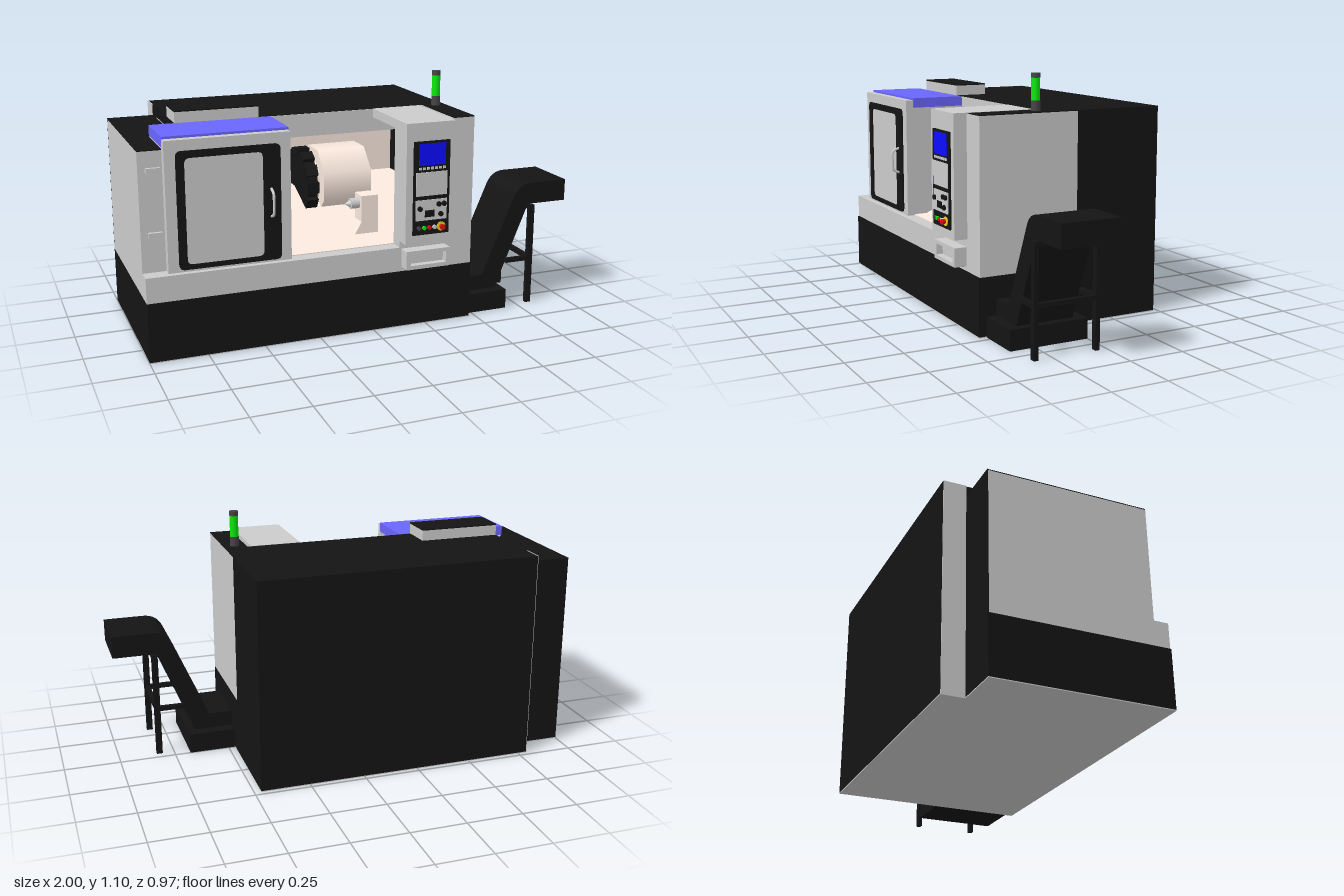
import * as THREE from 'three';

const mats = {};
const mat = (c) => (mats[c] ??= new THREE.MeshStandardMaterial({ color: c }));
const GREY = 0xcccccc, BLACK = 0x141414, PINK = 0xfbeadf, BLUE = 0x0c0cff, LILAC = 0x6a66ff;
const GREEN = 0x08e808, STEEL = 0xb4bce0, RED = 0xe01010, DARK = 0x444444;

export function createModel() {
  const model = new THREE.Group();

  const add = (name, color, geo, x = 0, y = 0, z = 0) => {
    const m = new THREE.Mesh(geo, mat(color));
    m.name = name;
    m.position.set(x, y, z);
    model.add(m);
    return m;
  };
  const box = (name, color, x0, x1, y0, y1, z0, z1) =>
    add(name, color, new THREE.BoxGeometry(x1 - x0, y1 - y0, z1 - z0), (x0 + x1) / 2, (y0 + y1) / 2, (z0 + z1) / 2);
  // Cylinder along the x, y or z axis, r1 at the positive end
  const cyl = (name, color, axis, r1, r0, len, x, y, z, seg = 32) => {
    const g = new THREE.CylinderGeometry(r1, r0, len, seg);
    if (axis === 'x') g.rotateZ(-Math.PI / 2);
    if (axis === 'z') g.rotateX(Math.PI / 2);
    return add(name, color, g, x, y, z);
  };
  const roundRect = (Path, x0, x1, y0, y1, r) => {
    const p = new Path();
    p.moveTo(x0 + r, y0);
    p.lineTo(x1 - r, y0).quadraticCurveTo(x1, y0, x1, y0 + r);
    p.lineTo(x1, y1 - r).quadraticCurveTo(x1, y1, x1 - r, y1);
    p.lineTo(x0 + r, y1).quadraticCurveTo(x0, y1, x0, y1 - r);
    p.lineTo(x0, y0 + r).quadraticCurveTo(x0, y0, x0 + r, y0);
    return p;
  };
  const extrude = (shape, depth) => new THREE.ExtrudeGeometry(shape, { depth, bevelEnabled: false, curveSegments: 8 });

  // Base
  box('base', BLACK, -0.79, 0.47, 0.004, 0.26, -0.48, 0.40);
  box('baseLeftEnd', BLACK, -1, -0.79, 0.004, 0.26, -0.38, 0.40);
  box('baseUnderside', GREY, -0.79, 0.47, 0, 0.004, -0.48, 0.40);
  box('baseUndersideLeft', GREY, -1, -0.79, 0, 0.004, -0.38, 0.40);
  box('frontSill', GREY, -1, 0.47, 0.26, 0.37, -0.07, 0.395);

  // Rear housing and roof
  box('rearHousing', BLACK, -0.79, 0.47, 0.26, 0.935, -0.48, -0.30);
  box('rearSidePlate', GREY, -0.793, -0.788, 0, 0.936, -0.479, -0.38);
  box('rightRearWall', BLACK, 0.37, 0.47, 0.26, 0.935, -0.30, -0.07);
  box('rightPillar', GREY, 0.37, 0.47, 0.37, 0.932, -0.07, 0.395);
  box('rightPillarCap', BLACK, 0.37, 0.47, 0.932, 0.936, -0.07, 0.395);
  box('roof', BLACK, -0.79, 0.37, 0.89, 0.935, -0.30, 0.076);
  box('header', GREY, -0.375, 0.37, 0.83, 0.89, 0.02, 0.074);
  box('headerFace', GREY, -0.79, 0.37, 0.89, 0.933, 0.076, 0.08);
  box('roofBox', GREY, -0.79, -0.42, 0.935, 0.982, -0.07, 0.085);
  box('roofBoxLid', BLACK, -0.79, -0.42, 0.982, 0.988, -0.07, 0.085);

  // Left end housing and headstock
  box('leftHousing', GREY, -1, -0.79, 0.26, 0.881, -0.376, 0.33);
  box('leftHousingBack', BLACK, -1, -0.79, 0.26, 0.885, -0.38, -0.376);
  box('leftHousingCap', BLACK, -1, -0.79, 0.881, 0.885, -0.376, 0.33);
  box('headstock', GREY, -0.79, -0.375, 0.26, 0.89, -0.30, 0.33);
  for (const y of [0.53, 0.80]) {
    box('hinge', GREY, -0.97, -0.91, y - 0.012, y + 0.012, 0.33, 0.345);
  }

  // Work chamber lining: back wall, floor and sloped bed
  box('chamberBack', PINK, -0.375, 0.37, 0.26, 0.89, -0.30, -0.29);
  box('chamberFloor', PINK, -0.375, 0.37, 0.36, 0.374, -0.29, 0.335);
  const bed = new THREE.Shape([[-0.28, 0.37], [0.14, 0.55], [0.29, 0.55], [0.29, 0.37]].map((p) => new THREE.Vector2(...p)));
  const bedGeo = extrude(bed, 0.745).rotateY(Math.PI / 2);
  add('slopedBed', PINK, bedGeo, -0.375, 0, 0);

  // Spindle chuck with three jaws
  cyl('chuck', STEEL, 'x', 0.065, 0.065, 0.035, -0.358, 0.53, 0.18);
  for (let i = 0; i < 3; i++) {
    const a = (i * 2 * Math.PI) / 3 + Math.PI / 2;
    const jaw = box('chuckJaw', STEEL, -0.345, -0.325, 0.515, 0.545, 0.17, 0.19);
    jaw.position.y = 0.53 + 0.04 * Math.sin(a);
    jaw.position.z = 0.18 + 0.04 * Math.cos(a);
    jaw.rotation.x = -a + Math.PI / 2;
  }

  // Tool turret and its carriage
  cyl('turretDisc', BLACK, 'x', 0.145, 0.145, 0.05, -0.16, 0.585, -0.09, 12);
  for (let i = 0; i < 12; i++) {
    const a = (i * Math.PI) / 6;
    const t = box('turretStation', BLACK, -0.19, -0.135, 0, 0.035, 0, 0.05);
    t.position.set(-0.162, 0.585 + 0.14 * Math.cos(a), -0.09 + 0.14 * Math.sin(a));
    t.rotation.x = a;
  }
  cyl('turretNeck', PINK, 'x', 0.10, 0.10, 0.04, -0.12, 0.585, -0.09);
  cyl('turretBody', PINK, 'x', 0.165, 0.165, 0.23, 0.005, 0.585, -0.09, 8).rotation.x = Math.PI / 8;

  // Tailstock with quill and live centre
  const tail = new THREE.Shape([[-0.035, 0.37], [0.09, 0.37], [0.09, 0.57], [0.01, 0.57], [0.01, 0.45]].map((p) => new THREE.Vector2(...p)));
  add('tailstock', PINK, extrude(tail, 0.08), 0, 0, 0.14);
  cyl('quill', GREY, 'x', 0.024, 0.024, 0.04, -0.01, 0.53, 0.18);
  cyl('liveCentre', GREY, 'x', 0.016, 0.002, 0.025, -0.042, 0.53, 0.18);

  // Sliding door with window and handle
  box('door', GREY, -0.90, -0.37, 0.37, 0.925, 0.33, 0.37);
  box('doorReturn', GREY, -0.90, -0.79, 0.37, 0.885, 0.08, 0.33);
  box('doorRoof', LILAC, -0.90, -0.365, 0.89, 0.935, 0.082, 0.334);
  const surround = roundRect(THREE.Shape, -0.855, -0.415, 0.38, 0.88, 0.025);
  surround.holes.push(roundRect(THREE.Path, -0.82, -0.49, 0.40, 0.85, 0.025));
  add('windowSurround', BLACK, extrude(surround, 0.008), 0, 0, 0.369);
  const grip = new THREE.CatmullRomCurve3([[0.57, 0.375], [0.585, 0.405], [0.63, 0.41], [0.675, 0.405], [0.69, 0.375]]
    .map(([y, z]) => new THREE.Vector3(-0.457, y, z)));
  add('doorHandle', GREY, new THREE.TubeGeometry(grip, 20, 0.006, 10));

  // Control column
  box('controlColumn', GREY, 0.12, 0.37, 0.37, 0.93, 0.33, 0.395);
  box('controlHood', GREY, 0.12, 0.35, 0.895, 0.935, 0.08, 0.455);
  box('controlCabinet', GREY, 0.12, 0.35, 0.40, 0.93, 0.395, 0.455);
  const backFrame = roundRect(THREE.Shape, 0.13, 0.36, 0.39, 0.89, 0.01);
  backFrame.holes.push(roundRect(THREE.Path, 0.16, 0.33, 0.42, 0.86, 0.01));
  add('columnBackFrame', GREY, extrude(backFrame, 0.015), 0, 0, 0.316);

  // Control panel face
  box('controlPanel', BLACK, 0.152, 0.322, 0.44, 0.855, 0.455, 0.463);
  box('screen', BLUE, 0.175, 0.30, 0.75, 0.845, 0.46, 0.466);
  for (let i = 0; i < 7; i++) {
    const x = 0.18 + i * 0.019;
    box('softKey', GREY, x - 0.006, x + 0.006, 0.731, 0.742, 0.46, 0.467);
  }
  box('keyboard', GREY, 0.162, 0.31, 0.615, 0.72, 0.46, 0.466);
  box('operatorPanel', GREY, 0.162, 0.31, 0.505, 0.597, 0.46, 0.466);
  for (const [x, y] of [[0.18, 0.56], [0.27, 0.575], [0.295, 0.575], [0.28, 0.53]]) {
    cyl('knob', BLACK, 'z', 0.011, 0.011, 0.014, x, y, 0.468, 20);
  }
  box('operatorDisplay', BLACK, 0.205, 0.25, 0.52, 0.55, 0.46, 0.468);
  for (const [x, c] of [[0.178, DARK], [0.203, GREEN], [0.228, RED], [0.252, GREY]]) {
    cyl('pushButton', c, 'z', 0.009, 0.009, 0.012, x, 0.472, 0.467, 20);
  }
  cyl('emergencyCollar', 0xe8d020, 'z', 0.02, 0.02, 0.006, 0.285, 0.472, 0.465, 24);
  cyl('emergencyStop', RED, 'z', 0.013, 0.009, 0.02, 0.285, 0.472, 0.475, 24);

  // Open tray below the panel
  const tray = roundRect(THREE.Shape, 0.13, 0.34, 0.28, 0.365, 0.002);
  tray.holes.push(roundRect(THREE.Path, 0.15, 0.32, 0.298, 0.348, 0.002));
  add('trayFrame', GREY, extrude(tray, 0.055), 0, 0, 0.395);
  box('trayBack', GREY, 0.14, 0.33, 0.29, 0.355, 0.395, 0.42);

  // Signal lamp
  cyl('lampBase', DARK, 'y', 0.02, 0.02, 0.045, 0.42, 0.9575, 0.108);
  cyl('lampLight', GREEN, 'y', 0.019, 0.019, 0.095, 0.42, 1.027, 0.108);
  cyl('lampCap', DARK, 'y', 0.02, 0.02, 0.02, 0.42, 1.085, 0.108);

  // Chip conveyor
  box('conveyorBase', BLACK, 0.47, 0.68, 0, 0.09, 0.0, 0.365);
  const run = new THREE.Shape();
  run.moveTo(0.47, 0.09);
  run.lineTo(0.645, 0.09);
  run.lineTo(0.795, 0.455);
  run.quadraticCurveTo(0.805, 0.48, 0.83, 0.48);
  run.lineTo(1, 0.48);
  run.lineTo(1, 0.58);
  run.lineTo(0.82, 0.58);
  run.quadraticCurveTo(0.755, 0.58, 0.73, 0.52);
  run.lineTo(0.575, 0.16);
  run.lineTo(0.47, 0.16);
  add('conveyorRun', BLACK, extrude(run, 0.265), 0, 0, 0.053);

  // Conveyor stand
  for (const z of [0.035, 0.318]) {
    box('standLeg', BLACK, 0.803, 0.83, 0, 0.478, z, z + 0.02);
    box('standStrut', BLACK, 0.69, 0.83, 0.21, 0.23, z, z + 0.02);
  }
  box('standCrossbar', BLACK, 0.806, 0.827, 0.21, 0.23, 0.035, 0.338);
  box('standTopBar', BLACK, 0.806, 0.827, 0.455, 0.475, 0.035, 0.338);

  return model;
}
